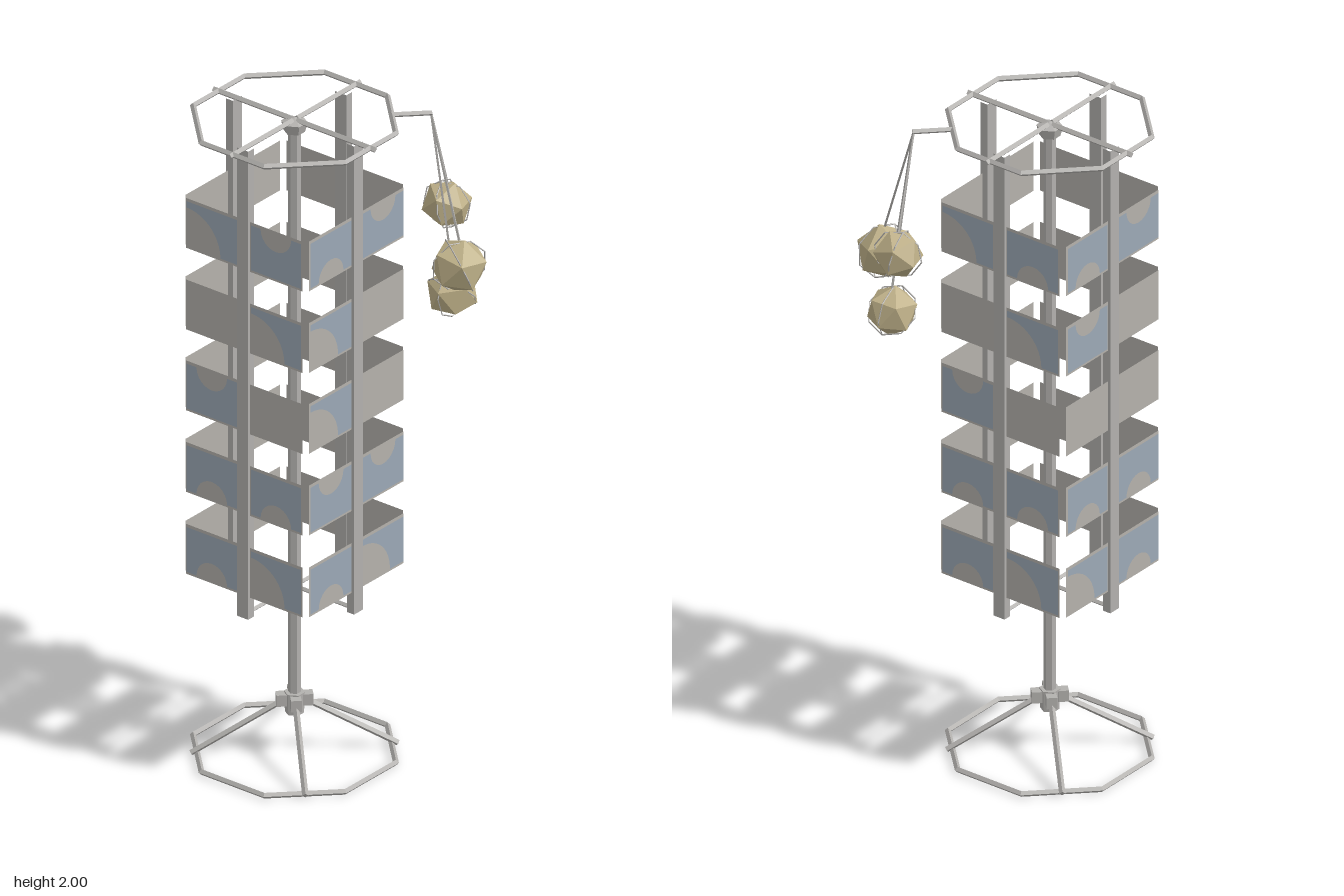
import * as THREE from 'three';

const mat = (name, color, extra = {}) => {
  const m = new THREE.MeshStandardMaterial({ color, flatShading: true, ...extra });
  m.name = name;
  return m;
};

export function createModel() {
  const metal = mat('grey metal', 0xb3b1ae);
  const paper = mat('pale card', 0xb5b2ac, { side: THREE.DoubleSide });
  const blue = mat('card blue', 0x9ca9b6);
  const straw = mat('tan ball', 0xbfb189);

  const model = new THREE.Group();
  model.name = 'displayRack';
  const rack = new THREE.Group();
  rack.name = 'rack';
  rack.position.set(-0.085, 0, 0.073);
  model.add(rack);

  const add = (parent, name, geo, m, x = 0, y = 0, z = 0) => {
    const mesh = new THREE.Mesh(geo, m);
    mesh.name = name;
    mesh.position.set(x, y, z);
    parent.add(mesh);
    return mesh;
  };
  // four-sided rod between two points
  const rod = (parent, name, a, b, r, m = metal) => {
    const p = new THREE.Vector3(...a), q = new THREE.Vector3(...b);
    const d = q.clone().sub(p);
    const mesh = add(parent, name, new THREE.CylinderGeometry(r, r, d.length(), 4), m);
    mesh.position.copy(p).add(q).multiplyScalar(0.5);
    mesh.quaternion.setFromUnitVectors(new THREE.Vector3(0, 1, 0), d.normalize());
    return mesh;
  };
  const turned = (name, angle) => {
    const g = new THREE.Group();
    g.name = name;
    g.rotation.y = angle;
    rack.add(g);
    return g;
  };

  // central pole, collars and octagonal rings
  add(rack, 'pole', new THREE.CylinderGeometry(0.018, 0.018, 1.84, 6), metal, 0, 1.06, 0);
  add(rack, 'topCollar', new THREE.CylinderGeometry(0.038, 0.03, 0.03, 6), metal, 0, 1.97, 0);
  add(rack, 'topCap', new THREE.ConeGeometry(0.038, 0.013, 6), metal, 0, 1.9915, 0);
  add(rack, 'baseCollar', new THREE.CylinderGeometry(0.03, 0.027, 0.065, 6), metal, 0, 0.157, 0);
  for (const [name, y] of [['baseRing', 0.009], ['topRing', 1.991]]) {
    const geo = new THREE.TorusGeometry(0.295, 0.009, 4, 8);
    geo.rotateZ(Math.PI / 8).rotateX(Math.PI / 2);
    add(rack, name, geo, metal, 0, y, 0);
  }

  // diagonal legs
  for (let i = 0; i < 4; i++) {
    const g = turned('leg', Math.PI / 4 + i * Math.PI / 2);
    rod(g, 'legBar', [0.03, 0.165, 0], [0.29, 0.012, 0], 0.009);
    add(g, 'legBracket', new THREE.BoxGeometry(0.03, 0.035, 0.03), metal, 0.037, 0.168, 0);
  }

  // blue printed area with a round bite: b bottom, t top, l lower left corner
  const W = 0.188, H = 0.157;
  const art = (kind) => {
    const w = W / 2 - 0.004, h = H / 2 - 0.008;
    const s = new THREE.Shape();
    if (kind === 'l') {
      s.moveTo(-w, h).lineTo(-w, h - 0.02);
      s.absarc(-w, -h, 2 * h - 0.02, Math.PI / 2, 0, true);
      s.lineTo(w, -h).lineTo(w, h);
    } else {
      const f = kind === 't' ? -1 : 1;
      s.moveTo(-w, -h * f).lineTo(-0.055, -h * f);
      for (let i = 1; i <= 12; i++) {
        const a = Math.PI * (1 - i / 12);
        s.lineTo(0.055 * Math.cos(a), f * (-h + 0.055 * Math.sin(a)));
      }
      s.lineTo(w, -h * f).lineTo(w, h * f).lineTo(-w, h * f);
    }
    return new THREE.ShapeGeometry(s, 10);
  };

  // four walls, each a post with two columns of cards; rows run from the top down
  const walls = [
    ['lt', '-l', 't-', 'bb', 'bl'],
    ['bt', 'l-', 'l-', 'tt', 'bl'],
    ['lb', '-l', 't-', 'bb', 'bl'],
    ['bt', 't-', '--', 'bb', 'lb'],
  ];
  const rowY = [1.687, 1.43, 1.175, 0.918, 0.66];
  walls.forEach((rows, i) => {
    const g = turned('wall', i * Math.PI / 2);
    const post = new THREE.CylinderGeometry(Math.SQRT1_2, Math.SQRT1_2, 1, 4, 1, true, Math.PI / 4);
    post.scale(0.04, 1.475, 0.025);
    add(g, 'post', post, metal, 0, 1.2525, 0.2175);
    rod(g, 'topSpoke', [0, 1.991, 0.01], [0, 1.991, 0.289], 0.009);
    rod(g, 'lowerSpoke', [0, 0.522, 0.01], [0, 0.522, 0.228], 0.007);
    rows.forEach((row, r) => [-1, 1].forEach((side, k) => {
      const x = side * 0.115;
      add(g, 'card', new THREE.PlaneGeometry(W, H), paper, x, rowY[r], 0.222);
      if (row[k] !== '-') add(g, 'cardPrint', art(row[k]), blue, x, rowY[r], 0.2245);
    }));
  });

  // hanging arm
  rod(turned('hangingArm', Math.PI / 4), 'armBar', [0.27, 1.991, 0], [0.386, 1.991, 0], 0.008);

  // balls on strings, each held by crossed bands
  const hook = [0.186, 1.988, -0.198];
  const balls = [
    [0.16, 1.655, -0.30, 0.073],
    [0.305, 1.56, -0.175, 0.083],
    [0.228, 1.425, -0.24, 0.076],
  ];
  balls.forEach(([x, y, z, r], i) => {
    const g = new THREE.Group();
    g.name = 'hangingBall';
    g.position.set(x, y, z);
    g.rotation.set(0.25 * i, 0.7 * i + 0.3, 0.2);
    model.add(g);
    add(g, 'ball', new THREE.IcosahedronGeometry(r, 0), straw);
    for (const a of [0, Math.PI / 2]) {
      add(g, 'band', new THREE.TorusGeometry(r * 0.98, 0.002, 4, 8), metal).rotation.y = a;
    }
    rod(model, 'string', hook, [x, y + r * 0.95, z], 0.004);
  });

  return model;
}
